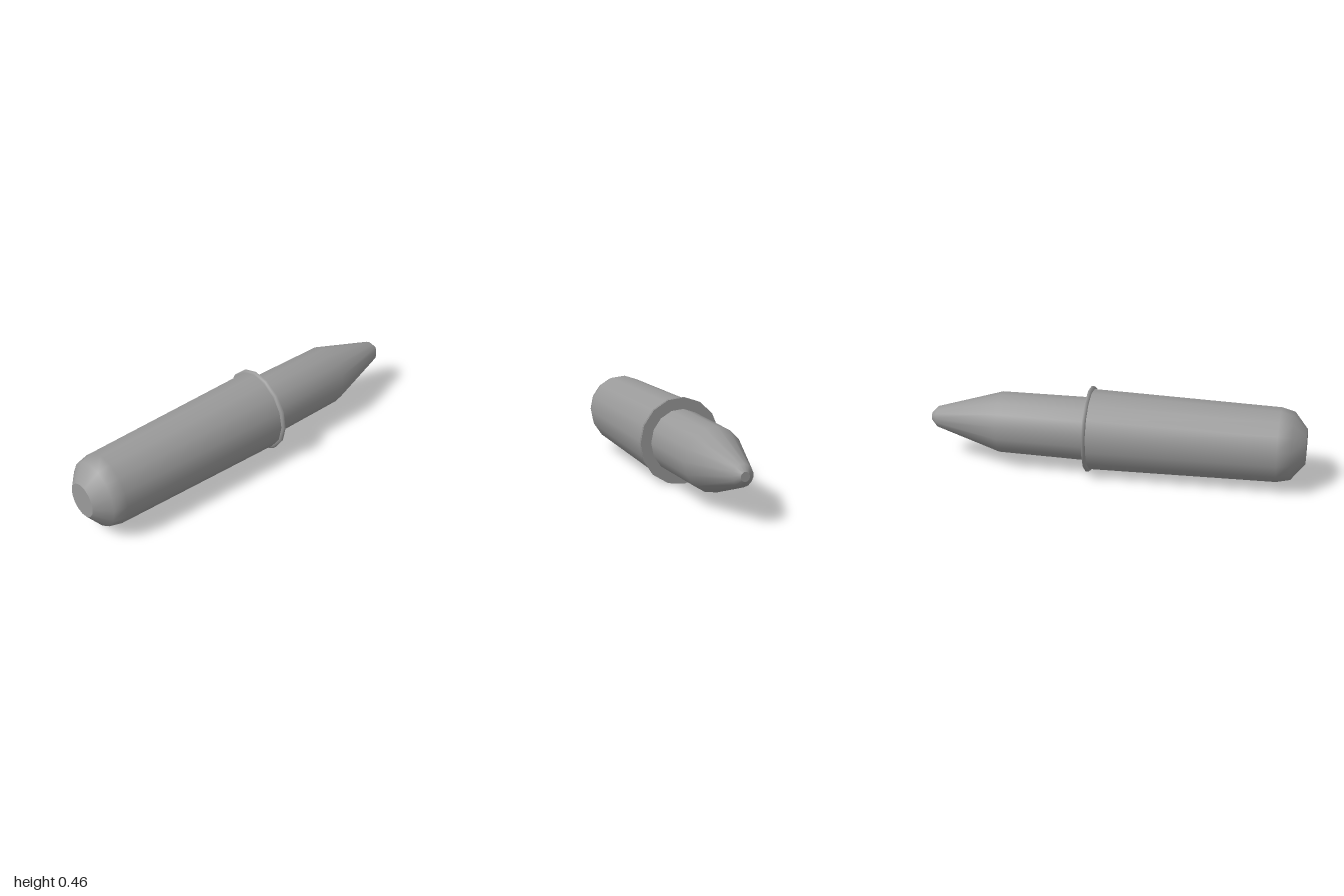
import * as THREE from 'three';

const SIDES = 15;
const material = new THREE.MeshStandardMaterial({ color: 0x9a9a9a });

// Smooth, slightly flattened turned surface along z; profile is [radius, z]
function turned(name, profile) {
  const points = profile.map(([r, z]) => new THREE.Vector2(r, z));
  const lathe = new THREE.LatheGeometry(points, SIDES, Math.PI / 2);
  lathe.rotateX(Math.PI / 2);
  lathe.scale(0.945, 1, 1);
  const mesh = new THREE.Mesh(lathe, material);
  mesh.name = name;
  return mesh;
}

export function createModel() {
  const group = new THREE.Group();
  group.name = 'taperedHandle';

  group.add(
    // Long handle with a rounded shoulder and flat front end
    turned('handle', [
      [0.2145, -0.13], [0.196, 0.86], [0.179, 0.93], [0.097, 0.997], [0.093, 1],
    ]),
    turned('endCap', [[0.093, 1], [0, 1]]),

    // Thin collar: flat back, softly rounded front edge
    turned('collarBack', [[0.15, -0.139], [0.2293, -0.139]]),
    turned('collarRim', [[0.2293, -0.139], [0.2293, -0.124], [0.21, -0.121]]),

    // Narrow tip with a blunt point
    turned('tipEnd', [[0, -1], [0.024, -1]]),
    turned('tip', [[0.024, -1], [0.056, -0.97], [0.164, -0.615], [0.169, -0.13]]),
  );

  group.position.set(-0.002, 0.228, 0);
  return group;
}
